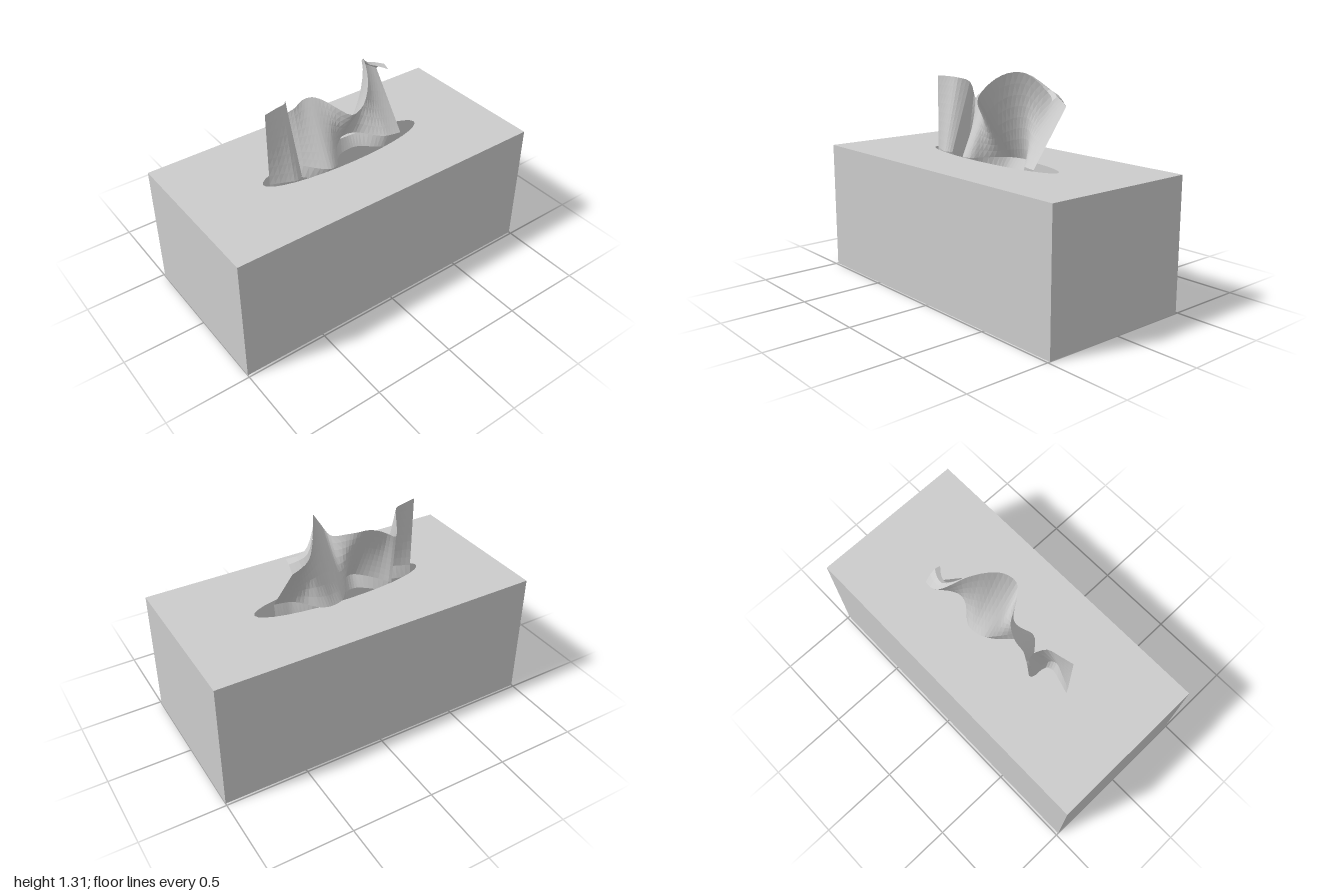
import * as THREE from 'three';

const W = 2, H = 0.79, D = 0.97;
const grey = (flat) => new THREE.MeshStandardMaterial({ color: 0xcccccc, side: THREE.DoubleSide, flatShading: flat });

function add(parent, name, geometry, flat = true) {
  const mesh = new THREE.Mesh(geometry, grey(flat));
  mesh.name = name;
  parent.add(mesh);
  return mesh;
}

// Grid surface through rows x columns of points given by point(u, v)
function sheet(cols, rows, point) {
  const pos = [], idx = [];
  for (let i = 0; i <= cols; i++)
    for (let j = 0; j <= rows; j++) {
      pos.push(...point(i / cols, j / rows));
      if (i < cols && j < rows) {
        const a = i * (rows + 1) + j, b = a + rows + 1;
        idx.push(a, b, b + 1, a, b + 1, a + 1);
      }
    }
  const g = new THREE.BufferGeometry();
  g.setAttribute('position', new THREE.Float32BufferAttribute(pos, 3));
  g.setIndex(idx);
  g.computeVertexNormals();
  return g;
}

// Tissue pleats: x, top height, top z, z at the slot
const pleats = [
  [-0.51, 1.24, 0.01, 0.015], [-0.43, 1.24, -0.01, 0.05], [-0.36, 1.235, -0.03, 0.075],
  [-0.32, 1.21, -0.09, 0.05], [-0.305, 1.11, -0.12, -0.09], [-0.26, 1.13, -0.1, -0.02],
  [-0.2, 1.165, -0.1, 0.06], [-0.15, 1.175, -0.08, 0.1], [-0.1, 1.155, -0.04, 0.09],
  [-0.06, 1.125, 0.02, 0.02], [-0.005, 1.095, 0.1, -0.06], [0.04, 1.165, 0.14, -0.11],
  [0.1, 1.25, 0.1, -0.13], [0.15, 1.3, 0.02, -0.13], [0.2, 1.3, -0.07, -0.1],
  [0.25, 1.24, -0.15, -0.03], [0.3, 1.18, -0.2, 0.02], [0.35, 1.15, -0.21, 0.035],
  [0.4, 1.12, -0.2, 0.045],
];

export function createModel() {
  const model = new THREE.Group();

  // Hollow carton: four walls, floor, and a top with an oval slot
  const box = new THREE.Group();
  box.name = 'box';
  model.add(box);
  for (const s of [1, -1]) {
    const face = add(box, s > 0 ? 'frontWall' : 'backWall', new THREE.PlaneGeometry(W, H));
    face.position.set(0, H / 2, s * D / 2);
    face.rotation.y = s > 0 ? 0 : Math.PI;
    const side = add(box, s > 0 ? 'leftWall' : 'rightWall', new THREE.PlaneGeometry(D, H));
    side.position.set(s * W / 2, H / 2, 0);
    side.rotation.y = s * Math.PI / 2;
  }
  add(box, 'floor', new THREE.PlaneGeometry(W, D).rotateX(Math.PI / 2));

  const top = new THREE.Shape([[-1, -1], [1, -1], [1, 1], [-1, 1]].map(
    ([x, y]) => new THREE.Vector2(x * W / 2, y * D / 2)));
  const slot = new THREE.Path();
  slot.absellipse(0, 0, 0.542, 0.115, 0, Math.PI * 2, true);
  top.holes.push(slot);
  add(box, 'slottedTop', new THREE.ShapeGeometry(top, 16).rotateX(-Math.PI / 2)).position.y = H;

  // Pulled-up tissue: each pleat leans opposite ways at the slot and at the rim
  const rim = new THREE.CatmullRomCurve3(pleats.map(([x, y, z]) => new THREE.Vector3(x, y, z)));
  const foot = new THREE.CatmullRomCurve3(pleats.map(([x, , , z]) => new THREE.Vector3(x, H, z)));
  const tissue = new THREE.Group();
  tissue.name = 'tissue';
  model.add(tissue);
  add(tissue, 'pleatedSheet', sheet(54, 8, (u, v) =>
    foot.getPoint(u).lerp(rim.getPoint(u), v).toArray()));

  // Tissue hidden inside the slot
  add(tissue, 'tuckedSheet', sheet(54, 1, (u, v) => {
    const p = foot.getPoint(u);
    return [p.x, H - 0.08 * (1 - v), p.z * (0.7 + 0.3 * v)];
  }));

  // Rim corner folded forward over the last pleats
  add(tissue, 'foldedCorner', sheet(8, 3, (u, v) => {
    const p = rim.getPoint(1 - (1 - u) * 4 / (pleats.length - 1));
    return [p.x, p.y + u * 0.06 * Math.sin(v * 2.4), p.z + u * 0.11 * v];
  }));

  return model;
}
